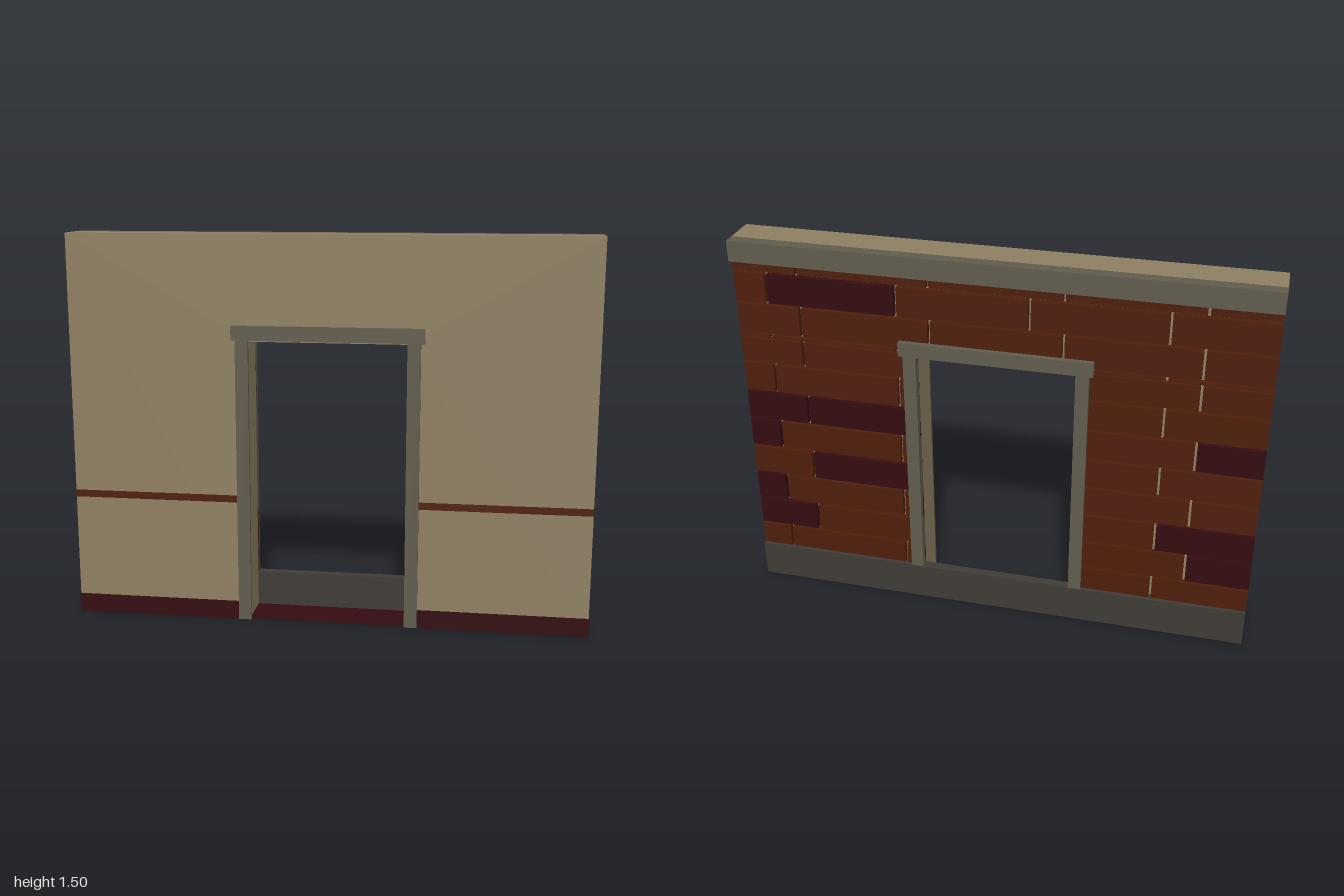
import * as THREE from 'three';

const material = (name, color) => {
  const m = new THREE.MeshStandardMaterial({ color });
  m.name = name;
  return m;
};

export function createModel() {
  const group = new THREE.Group();
  const plaster = material('plaster', 0x8f8062);
  const stone = material('trim stone', 0x615c4d);
  const footing = material('footing stone', 0x403c37);
  const brick = material('brick', 0x4f1f0c);
  const darkBrick = material('dark brick', 0x340c10);

  // Box given by its two extreme corners
  function box(name, mat, x0, x1, y0, y1, z0, z1, parent = group) {
    const mesh = new THREE.Mesh(new THREE.BoxGeometry(x1 - x0, y1 - y0, z1 - z0), mat);
    mesh.position.set((x0 + x1) / 2, (y0 + y1) / 2, (z0 + z1) / 2);
    mesh.name = name;
    parent.add(mesh);
  }

  const front = 0.083, back = -0.048, door = 0.3, doorTop = 1.1;

  // Wall with the doorway cut out
  const outline = new THREE.Shape([
    [-1, 0], [-door, 0], [-door, doorTop], [door, doorTop],
    [door, 0], [1, 0], [1, 1.5], [-1, 1.5],
  ].map(([x, y]) => new THREE.Vector2(x, y)));
  const wall = new THREE.Mesh(
    new THREE.ExtrudeGeometry(outline, { depth: front - back, bevelEnabled: false }), plaster);
  wall.position.z = back;
  wall.name = 'wall';
  group.add(wall);

  // Doorway floor, outer footing and top cap
  box('threshold', darkBrick, -door, door, 0, 0.015, back, front);
  box('footing', footing, -1, 1, 0, 0.15, -0.085, back);
  box('cap', stone, -1, 1, 1.42, 1.5, -0.096, back);

  // Door trim on both faces
  box('frontLintel', stone, -0.365, 0.365, 1.105, 1.16, front, 0.0965);
  box('backLintel', stone, -0.365, 0.365, 1.105, 1.16, -0.092, back);
  for (const side of [-1, 1]) {
    const span = (a, b) => (side > 0 ? [a, b] : [-b, -a]);
    box('frontDoorPost', stone, ...span(door, 0.35), 0, 1.105, front, 0.095);
    box('backDoorPost', stone, ...span(door, 0.35), 0.15, 1.105, -0.085, back);
    box('baseboard', darkBrick, ...span(0.35, 1), 0, 0.07, front, 0.0945);
    box('chairRail', brick, ...span(0.35, 1), 0.475, 0.5, front, 0.0945);
  }

  // Brick courses: bottom, top, offset of joints, centres of dark bricks
  const courses = [
    [0.15, 0.25, 0.875, []],
    [0.25, 0.375, 0.75, [0.875, -0.875]],
    [0.375, 0.5, 0.875, [0.94, -0.81]],
    [0.5, 0.625, 0.75, [0.5]],
    [0.625, 0.75, 0.875, [0.94]],
    [0.75, 0.875, 0.75, [0.875, 0.5, -0.875]],
    [0.875, 1, 0.875, []],
    [1, 1.11, 0.75, []],
    [1.11, 1.125, 0.875, []],
    [1.125, 1.25, 0.75, []],
    [1.25, 1.375, 0.875, [0.625]],
    [1.375, 1.425, 0.75, []],
  ];
  const bricks = new THREE.Group();
  bricks.name = 'brickFacing';
  group.add(bricks);
  const gap = 0.005;
  for (const [y0, y1, joint, dark] of courses) {
    const sections = y0 < doorTop ? [[-1, -door], [door, 1]] : [[-1, 1]];
    for (const [left, right] of sections) {
      for (let end = joint + 0.5; end > -1; end -= 0.5) {
        const a = Math.max(left, end - 0.5), b = Math.min(right, end);
        if (b - a < 0.02) continue;
        const x0 = a === left ? a : a + gap;
        const x1 = b === right ? b : b - gap;
        const isDark = dark.some((x) => x > a && x < b);
        const low = y0 === 0.15 ? y0 : y0 + (y1 - y0 < 0.02 ? 0.003 : gap);
        const high = y1 - (y1 - y0 < 0.02 ? 0.003 : gap);
        box('brick', isDark ? darkBrick : brick, x0, x1, low, high, -0.07, back, bricks);
      }
    }
  }
  return group;
}
